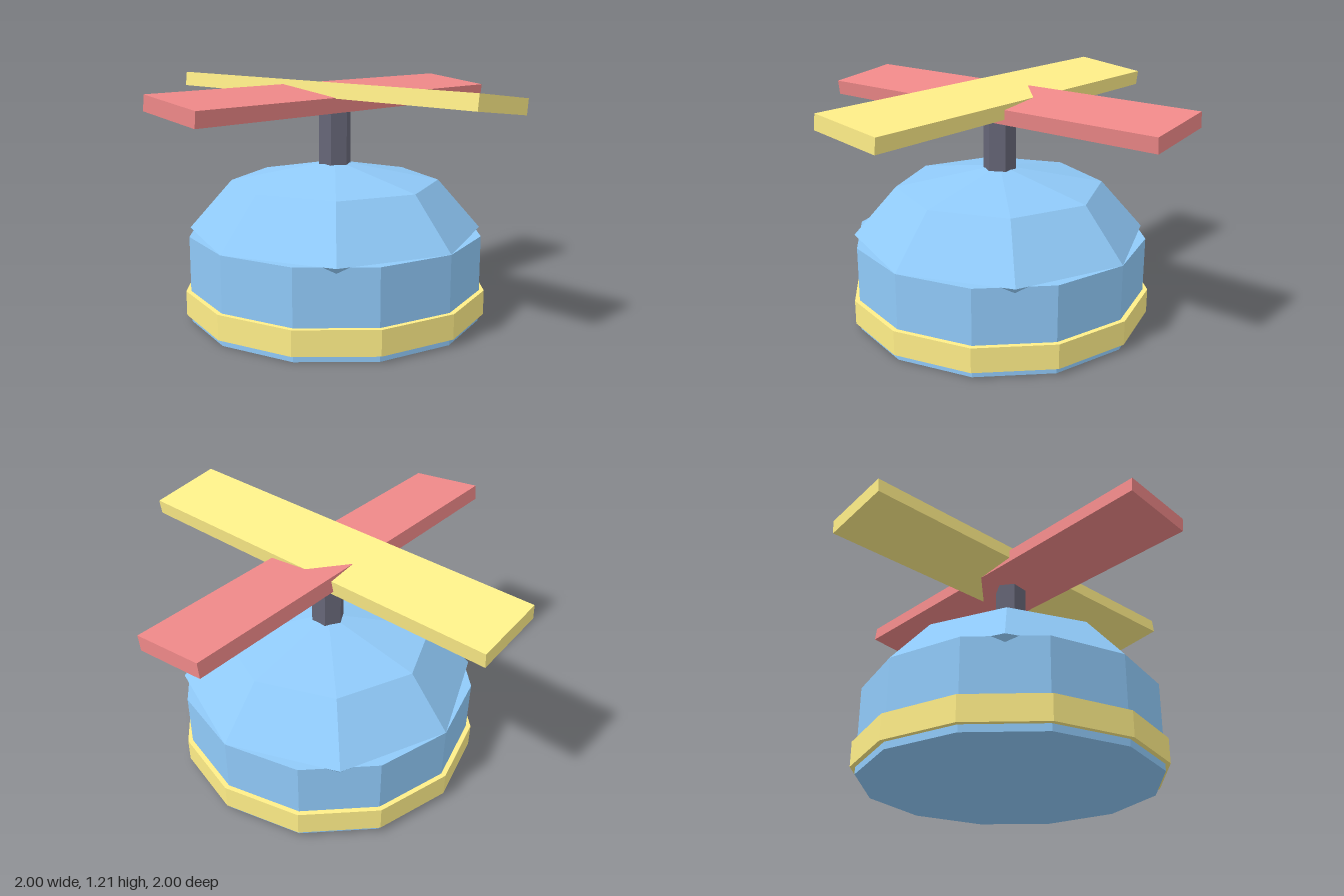
import * as THREE from 'three';

export function createModel() {
  const model = new THREE.Group();
  model.name = 'propellerCap';

  const flat = (color) => new THREE.MeshStandardMaterial({ color, flatShading: true });
  const blue = flat(0x90caf9);
  const yellow = flat(0xffee88);
  const red = flat(0xee8888);
  const grey = flat(0x666677);

  const add = (name, geometry, material, y) => {
    const mesh = new THREE.Mesh(geometry, material);
    mesh.name = name;
    mesh.position.y = y;
    model.add(mesh);
    return mesh;
  };
  // Upright prism between two heights
  const prism = (name, radius, bottom, top, sides, material) =>
    add(name, new THREE.CylinderGeometry(radius, radius, top - bottom, sides), material, (bottom + top) / 2);

  // Twelve-sided cap wall with a slightly wider band
  prism('capWall', 0.75, 0, 0.44, 12, blue);
  prism('band', 0.775, 0.035, 0.16, 12, yellow);

  // Squashed eight-sided dome; its underside corners just poke out of the wall
  add('dome', new THREE.SphereGeometry(0.75, 8, 4), blue, 0.44).scale.y = 0.355 / 0.75;

  // Hexagonal shaft
  prism('shaft', 0.083, 0.74, 1.12, 6, grey);

  // Two crossed blades, each pitched about its own length
  const pitch = 0.12;
  add('sideBlade', new THREE.BoxGeometry(2, 0.075, 0.375), red, 1.12).rotation.x = pitch;
  add('frontBlade', new THREE.BoxGeometry(0.375, 0.075, 2), yellow, 1.146).rotation.z = -pitch;

  return model;
}
